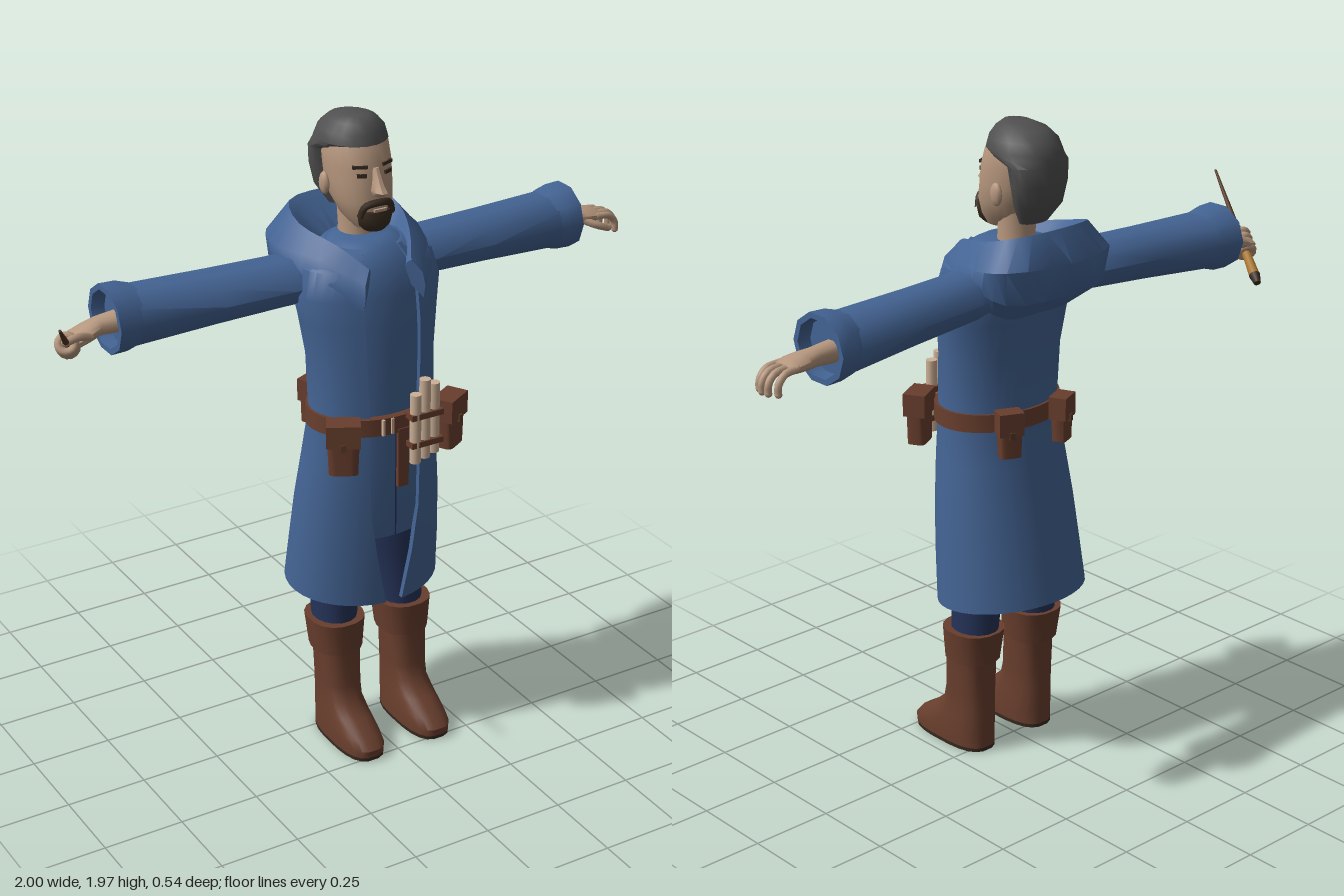
import * as THREE from 'three';
import { toCreasedNormals } from 'three/addons/utils/BufferGeometryUtils.js';

const V = (x, y, z) => new THREE.Vector3(x, y, z);
const material = (name, color) => Object.assign(new THREE.MeshStandardMaterial({ color }), { name });

// Skin a row of closed loops, close both ends, and turn the faces outward
function loft(rings, crease = 0.75) {
  const n = rings[0].length;
  const cap = r => r.map((p, k) => p.clone().add(r[n - 1 - k]).multiplyScalar(0.5));
  const pts = [cap(rings[0]), ...rings, cap(rings[rings.length - 1])].flat();
  const idx = [];
  for (let i = 0; i <= rings.length; i++) for (let k = 0; k < n; k++) {
    const a = i * n + k, b = i * n + (k + 1) % n;
    idx.push(a, a + n, b, b, a + n, b + n);
  }
  let volume = 0;
  for (let i = 0; i < idx.length; i += 3)
    volume += pts[idx[i]].dot(pts[idx[i + 1]].clone().cross(pts[idx[i + 2]]));
  if (volume < 0) idx.reverse();
  const geo = new THREE.BufferGeometry().setFromPoints(pts);
  geo.setIndex(idx);
  return toCreasedNormals(geo, crease);
}

const soft = (t, p) => Math.sign(t) * Math.abs(t) ** p;

// Upright form from levels [y, halfWidth, zFront, zBack, xCentre]
function stack(levels, n = 20, p = 1) {
  return loft(levels.map(([y, w, zf, zb, cx = 0]) => Array.from({ length: n }, (_, k) => {
    const a = (k + 0.5) / n * Math.PI * 2;
    return V(cx + w * soft(Math.sin(a), p), y, (zf + zb) / 2 + (zf - zb) / 2 * soft(Math.cos(a), p));
  })));
}

// Sideways form from levels [x, yCentre, zCentre, halfHeight, halfDepth]
function reach(levels, side, n = 10) {
  return loft(levels.map(([x, y, z, h, d]) => Array.from({ length: n }, (_, k) => {
    const a = (k + 0.5) / n * Math.PI * 2;
    return V(side * x, y + h * Math.cos(a), z + d * Math.sin(a));
  })));
}

export function createModel() {
  const blue = material('coat blue', 0x446494), navy = material('trouser navy', 0x26345a);
  const skin = material('skin', 0xb6977e), grey = material('hair grey', 0x505050);
  const dark = material('beard brown', 0x392b20), leather = material('leather brown', 0x683e2d);
  const cream = material('parchment', 0xccb096), wood = material('wand wood', 0x553724);
  const gold = material('handle gold', 0xa9772f);

  const root = new THREE.Group();
  root.name = 'robedFigure';
  const body = new THREE.Group();
  body.name = 'figure';
  body.position.x = 0.022;
  root.add(body);
  const add = (name, geo, mat, x = 0, y = 0, z = 0, ry = 0, parent = body) => {
    const m = new THREE.Mesh(geo, mat);
    m.name = name;
    m.position.set(x, y, z);
    m.rotation.y = ry;
    parent.add(m);
    return m;
  };
  const box = (w, h, d) => new THREE.BoxGeometry(w, h, d);
  const finger = (name, points, r) => {
    add(name, new THREE.TubeGeometry(new THREE.CatmullRomCurve3(points), 8, r, 7), skin);
    const e = points[points.length - 1], s = points[0];
    add(name + 'Tip', new THREE.SphereGeometry(r, 8, 6), skin, e.x, e.y, e.z);
    add(name + 'Root', new THREE.SphereGeometry(r, 8, 6), skin, s.x, s.y, s.z);
  };

  // Coat: levels [y, halfWidth, zFront, zBack, half of the front opening]
  const coat = [
    [1.61, 0.12, 0.11, -0.11, 0.06], [1.56, 0.21, 0.15, -0.135, 0.08], [1.48, 0.232, 0.17, -0.14, 0.09],
    [1.4, 0.217, 0.182, -0.13, 0.092], [1.28, 0.2, 0.19, -0.113, 0.09], [1.1, 0.197, 0.196, -0.102, 0.082],
    [0.95, 0.214, 0.198, -0.128, 0.085], [0.8, 0.229, 0.198, -0.16, 0.082], [0.65, 0.238, 0.194, -0.188, 0.06],
    [0.49, 0.244, 0.185, -0.213, 0.028]];
  const strips = [];
  for (let i = 0; i <= 36; i++) {
    const point = (lv, inset) => {
      const [y, w, zf, zb, gap] = lv, start = Math.asin(gap / w);
      const a = start + (Math.PI * 2 - start * 2) * i / 36;
      const lift = y < 0.5 ? (1 - Math.cos(a)) * 0.02 : 0;
      return V((w - inset) * Math.sin(a), y + lift, (zf + zb) / 2 + ((zf - zb) / 2 - inset) * Math.cos(a));
    };
    strips.push([...coat.map(l => point(l, 0)), ...coat.map(l => point(l, 0.014)).reverse()]);
  }
  add('coat', loft(strips), blue);

  // Tunic under the coat, with its centre seam
  add('tunic', stack([[1.625, 0.08, 0.07, -0.09], ...coat.slice(0, 8).map(([y, w, zf, zb]) => [y, w - 0.012, zf - 0.01, zb + 0.012]),
    [0.715, 0.21, 0.182, -0.15]], 32), blue);
  add('tunicSeam', box(0.005, 0.34, 0.006), navy, 0, 0.89, 0.186);

  // Hood lying on the shoulders: loops from the outer foot over the rim to the inner foot
  const hoodHalf = [
    [[0.1, 1.46, 0.172], [0.1, 1.5, 0.18], [0.095, 1.54, 0.172], [0.07, 1.575, 0.15], [0.06, 1.565, 0.14], [0.055, 1.52, 0.13]],
    [[0.19, 1.5, 0.06], [0.2, 1.54, 0.06], [0.175, 1.59, 0.05], [0.12, 1.625, 0.06], [0.105, 1.61, 0.06], [0.07, 1.56, 0.06]],
    [[0.2, 1.48, -0.06], [0.235, 1.54, -0.1], [0.228, 1.59, -0.11], [0.165, 1.655, -0.08], [0.145, 1.635, -0.07], [0.09, 1.57, -0.05]],
    [[0.13, 1.43, -0.13], [0.19, 1.5, -0.2], [0.2, 1.6, -0.215], [0.135, 1.685, -0.19], [0.12, 1.665, -0.17], [0.07, 1.58, -0.11]]];
  const hoodBack = [[0, 1.42, -0.13], [0, 1.5, -0.245], [0, 1.6, -0.268], [0, 1.69, -0.215], [0, 1.67, -0.195], [0, 1.58, -0.12]];
  const stations = [...hoodHalf, hoodBack, ...hoodHalf.map(s => s.map(([x, y, z]) => [-x, y, z])).reverse()];
  const lines = hoodBack.map((_, k) => new THREE.CatmullRomCurve3(stations.map(s => V(...s[k]))));
  add('hood', loft(Array.from({ length: 25 }, (_, i) => lines.map(c => c.getPoint(i / 24)))), blue);

  // Neck, head and nose
  add('neck', stack([[1.56, 0.062, 0.03, -0.1], [1.64, 0.055, 0.02, -0.09], [1.74, 0.058, 0.02, -0.1]], 14), skin);
  add('head', stack([[1.658, 0.04, 0.07, -0.02], [1.69, 0.066, 0.082, -0.07], [1.74, 0.086, 0.086, -0.11],
    [1.79, 0.093, 0.076, -0.135], [1.84, 0.094, 0.07, -0.145], [1.89, 0.093, 0.052, -0.15], [1.94, 0.075, 0.022, -0.13]], 20, 0.92), skin);
  add('nose', stack([[1.842, 0.011, 0.078, 0.04], [1.80, 0.016, 0.104, 0.04], [1.778, 0.022, 0.124, 0.05],
    [1.762, 0.016, 0.1, 0.05]], 8), skin);

  // Hair: a cap over the crown that runs down behind the ears
  add('hair', stack([[1.69, 0.05, -0.08, -0.135], [1.745, 0.085, -0.08, -0.175], [1.81, 0.099, -0.075, -0.187],
    [1.865, 0.103, -0.06, -0.19], [1.885, 0.104, 0.02, -0.188], [1.9, 0.103, 0.05, -0.185], [1.93, 0.093, 0.043, -0.172],
    [1.957, 0.068, 0.025, -0.14], [1.973, 0.035, 0.005, -0.085]], 18), grey);

  // Goatee, moustache and mouth
  add('goatee', stack([[1.655, 0.03, 0.085, 0.02], [1.672, 0.047, 0.098, 0.02], [1.7, 0.054, 0.1, 0.02],
    [1.716, 0.052, 0.095, 0.02]], 14, 0.85), dark);
  add('mouth', box(0.04, 0.008, 0.008), skin, 0, 1.722, 0.094);
  add('moustache', new THREE.TubeGeometry(new THREE.CatmullRomCurve3(
    [V(-0.052, 1.702, 0.07), V(-0.04, 1.733, 0.077), V(0, 1.744, 0.089), V(0.04, 1.733, 0.077), V(0.052, 1.702, 0.07)]), 16, 0.011, 7), dark);

  // Belt, buckle and hanging strap
  add('belt', stack([[1.068, 0.208, 0.209, -0.113], [1.122, 0.206, 0.209, -0.111]], 36), leather);
  for (const x of [-0.055, -0.025]) add('buckle', box(0.008, 0.05, 0.009), cream, x, 1.096, 0.208);
  add('strap', box(0.036, 0.19, 0.012), leather, 0.012, 0.985, 0.206);

  // Scrolls in their holder
  [[0.04, 1.19], [0.074, 1.23], [0.108, 1.21]].forEach(([x, top], i) =>
    add('scroll', new THREE.CylinderGeometry(0.017, 0.017, top - 0.97 - i * 0.008, 12), cream, x, (top + 0.97 + i * 0.008) / 2, 0.23 - i * 0.004));
  for (const y of [1.03, 1.12]) add('scrollBand', box(0.108, 0.018, 0.042), leather, 0.074, y, 0.225);

  // Belt pouches
  const pouch = (name, x, z, ry, w, d, bottom) => {
    const g = new THREE.Group();
    g.name = name;
    g.position.set(x, 0, z);
    g.rotation.y = ry;
    body.add(g);
    add('pouchBag', stack([[bottom, w * 0.43, d * 0.45, -d * 0.45], [1.1, w * 0.48, d * 0.48, -d * 0.48]], 20, 0.4), leather, 0, 0, 0, 0, g);
    add('pouchFlap', box(w, 0.07, d * 1.1), leather, 0, 1.105, 0, 0, g);
    add('pouchClasp', box(0.016, 0.022, 0.009), wood, 0, 1.072, d * 0.55, 0, g);
  };

  for (const s of [1, -1]) {
    const side = s > 0 ? 'left' : 'right';
    pouch(side + 'FrontPouch', s * 0.182, 0.193, s * 0.52, 0.1, 0.062, 0.98);
    pouch(side + 'BackPouch', s * 0.105, -0.12, Math.PI - s * 0.42, 0.075, 0.05, 1.0);

    // Ear, eye and brow
    add(side + 'Ear', new THREE.SphereGeometry(0.03, 10, 8).scale(0.45, 1.15, 0.75), skin, s * 0.096, 1.775, -0.055);
    add(side + 'Eye', box(0.028, 0.011, 0.009), dark, s * 0.042, 1.822, 0.062, s * 0.42);
    add(side + 'Brow', box(0.044, 0.009, 0.009), dark, s * 0.044, 1.846, 0.056, s * 0.42);

    // Hollow sleeve and turned cuff
    add(side + 'Sleeve', reach([[0.13, 1.505, -0.04, 0.07, 0.08], [0.24, 1.502, -0.062, 0.074, 0.098], [0.45, 1.495, -0.078, 0.079, 0.096],
      [0.74, 1.485, -0.1, 0.09, 0.098], [0.74, 1.485, -0.1, 0.07, 0.078]], s), blue);
    add(side + 'Cuff', reach([[0.6, 1.487, -0.092, 0.06, 0.06], [0.73, 1.488, -0.1, 0.1, 0.106], [0.78, 1.488, -0.1, 0.102, 0.108],
      [0.78, 1.488, -0.1, 0.085, 0.09], [0.735, 1.488, -0.1, 0.08, 0.085]], s), blue);

    // Forearm and palm
    const drop = s > 0 ? 0 : 0.022;
    add(side + 'Hand', reach([[0.7, 1.475, -0.105, 0.036, 0.04], [0.8, 1.472, -0.105, 0.028, 0.033], [0.84, 1.47 - drop / 2, -0.105, 0.026, 0.042],
      [0.88, 1.468 - drop, -0.105, 0.022, 0.046], [0.905, 1.464 - drop, -0.105, 0.014, 0.042]], s, 12), skin);

    // Trouser leg and boot
    const x = s * 0.118;
    add(side + 'Trouser', stack([[0.36, 0.066, 0.1, -0.05, x], [0.52, 0.074, 0.105, -0.065, s * 0.113], [0.62, 0.092, 0.12, -0.085, s * 0.1],
      [0.8, 0.105, 0.135, -0.1, s * 0.092]], 16), navy);
    add(side + 'Boot', stack([[0.012, 0.068, 0.268, -0.035, x], [0.035, 0.068, 0.27, -0.035, x], [0.062, 0.066, 0.245, -0.035, x],
      [0.1, 0.062, 0.185, -0.037, x], [0.14, 0.058, 0.137, -0.036, x], [0.19, 0.06, 0.122, -0.034, x], [0.34, 0.067, 0.11, -0.035, x]], 20, 0.72), leather);
    add(side + 'Sole', stack([[0, 0.067, 0.266, -0.034, x], [0.012, 0.068, 0.268, -0.035, x]], 20, 0.72), dark);
    add(side + 'BootCuff', stack([[0.302, 0.077, 0.118, -0.05, x], [0.405, 0.087, 0.122, -0.066, x]], 16, 0.85), leather);
  }

  // Open left hand
  [-0.142, -0.118, -0.093, -0.069].forEach((z, i) => {
    const l = [0.955, 0.97, 0.972, 0.962][i];
    finger('finger', [V(0.885, 1.468, z), V(l - 0.03, 1.462, z), V(l - 0.008, 1.437, z), V(l - 0.006, 1.412, z)], 0.011);
  });
  finger('thumb', [V(0.84, 1.462, -0.075), V(0.875, 1.447, -0.052), V(0.915, 1.432, -0.05)], 0.012);

  // Wand held in the right hand
  const tip = V(-1.02, 1.6, 0.138), butt = V(-0.832, 1.35, -0.225);
  const dir = butt.clone().sub(tip), length = dir.length();
  dir.normalize();
  const rod = (name, mat, t0, t1, r0, r1) => {
    const mid = tip.clone().lerp(butt, (t0 + t1) / 2);
    add(name, new THREE.CylinderGeometry(r1, r0, (t1 - t0) * length, 10), mat, mid.x, mid.y, mid.z)
      .quaternion.setFromUnitVectors(V(0, 1, 0), dir);
  };
  rod('wandShaft', wood, 0, 0.76, 0.004, 0.012);
  rod('wandHandle', gold, 0.74, 0.93, 0.014, 0.017);
  rod('wandPommel', dark, 0.93, 1, 0.018, 0.011);

  // Fist curled round the wand
  for (let i = 0; i < 4; i++) {
    const c = tip.clone().lerp(butt, 0.585 + i * 0.047);
    add('curledFinger', new THREE.TorusGeometry(0.023, 0.0125, 8, 14), skin, c.x, c.y, c.z)
      .quaternion.setFromUnitVectors(V(0, 0, 1), dir);
  }
  finger('thumb', [V(-0.84, 1.46, -0.07), V(-0.885, 1.475, -0.055), V(-0.925, 1.47, -0.05)], 0.012);
  return root;
}
